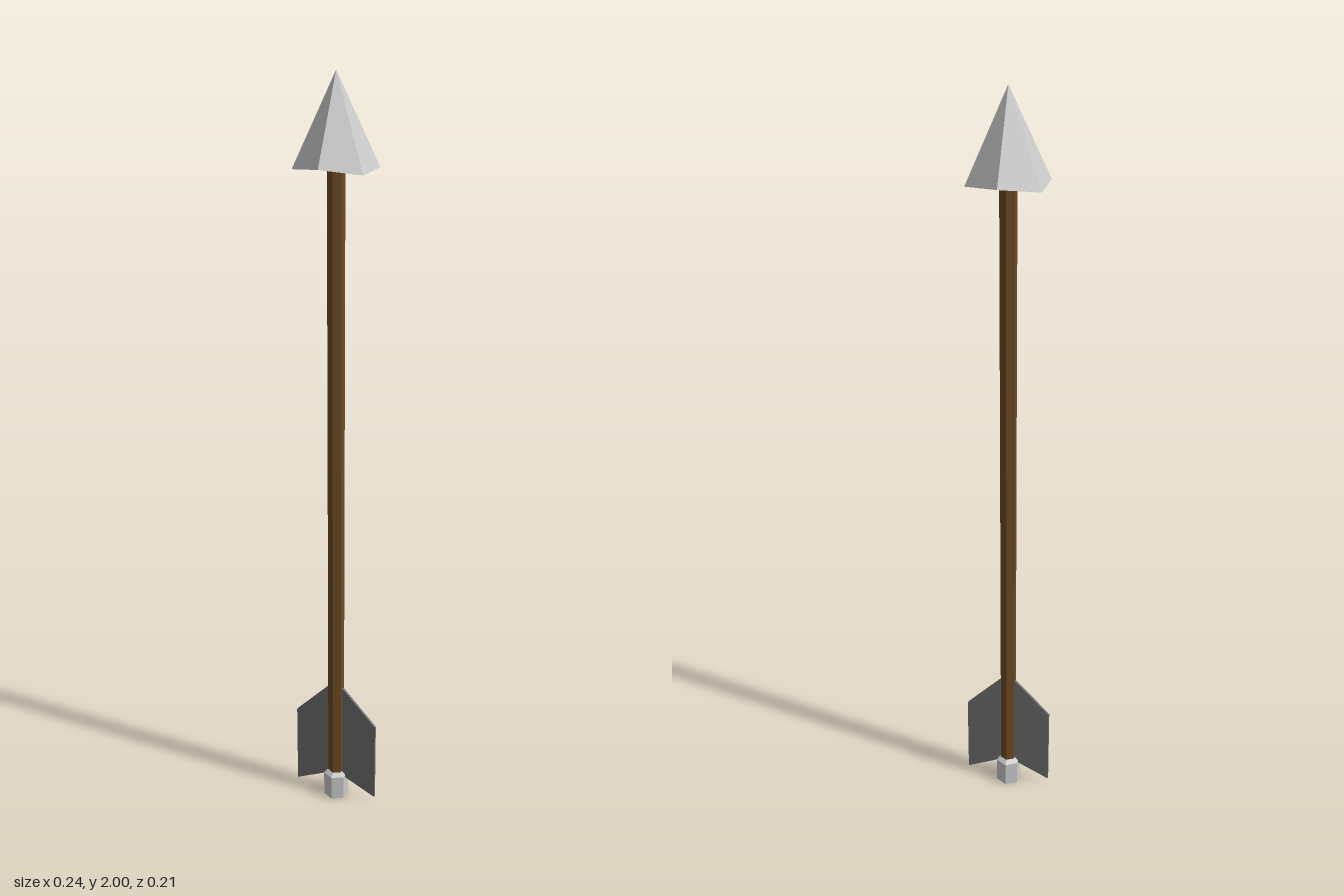
import * as THREE from 'three';

const SIDES = 6;

function material(color) {
  return new THREE.MeshStandardMaterial({ color, flatShading: true });
}

function addMesh(group, name, geometry, mat) {
  const mesh = new THREE.Mesh(geometry, mat);
  mesh.name = name;
  group.add(mesh);
  return mesh;
}

// Six-sided turned solid from [radius, height] pairs, listed bottom to top
function turned(profile) {
  return new THREE.LatheGeometry(profile.map(([r, y]) => new THREE.Vector2(r, y)), SIDES);
}

export function createModel() {
  const arrow = new THREE.Group();
  arrow.name = 'arrow';
  const metal = material(0xcccccc);
  const wood = material(0x6b4a24);
  const feather = material(0x707070);

  // Shaft
  addMesh(arrow, 'shaft', turned([[0, 0.05], [0.022, 0.05], [0.022, 1.83], [0, 1.83]]), wood);

  // Nock cap with a slight bevel at its top
  addMesh(arrow, 'nock', turned([[0, 0], [0.034, 0], [0.034, 0.07], [0.022, 0.08], [0, 0.08]]), metal);

  // Pointed head with a hollowed underside; the side corners hang lower
  const head = turned([[0, 1.82], [0.105, 1.79], [0, 2]]);
  const pos = head.attributes.position;
  for (let i = 0; i < pos.count; i++) {
    if (Math.abs(pos.getX(i)) > 0.05) pos.setY(i, 1.775);
  }
  head.computeVertexNormals();
  addMesh(arrow, 'head', head, metal);

  // Two flat vanes, one each side of the shaft
  const vane = new THREE.Shape([
    [0, 0.075], [0.118, 0.02], [0.118, 0.25], [0.02, 0.352], [0, 0.352],
  ].map(([x, y]) => new THREE.Vector2(x, y)));
  const vaneGeometry = new THREE.ExtrudeGeometry(vane, { depth: 0.007, bevelEnabled: false });
  vaneGeometry.translate(0, 0, -0.0035);
  addMesh(arrow, 'leftVane', vaneGeometry, feather);
  addMesh(arrow, 'rightVane', vaneGeometry, feather).rotation.y = Math.PI;

  return arrow;
}
